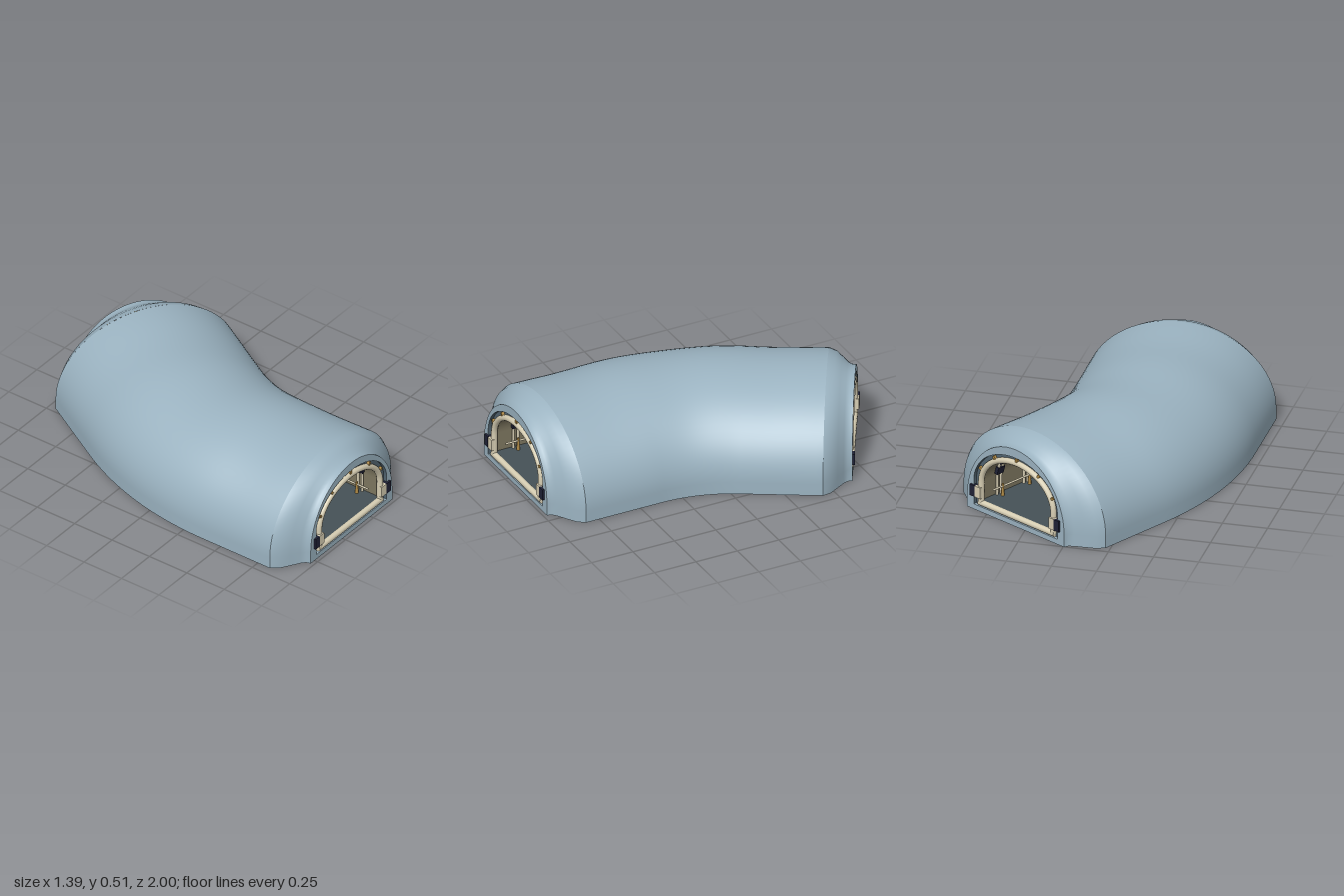
import * as THREE from 'three';

const mat = (name, color) => {
  const m = new THREE.MeshStandardMaterial({ color });
  m.name = name;
  return m;
};

// Centre line: straight, a 30 degree bend, straight again
const START = 0.61, R = 1.344, BEND = Math.PI / 6, ARC = R * BEND, L = START + ARC + 0.6;
function frame(s) {
  const a = THREE.MathUtils.clamp((s - START) / R, 0, BEND);
  let x = -0.17 + R * (1 - Math.cos(a));
  let z = 0.98 - Math.min(s, START) - R * Math.sin(a);
  const extra = Math.max(0, s - START - ARC);
  x += extra * Math.sin(a);
  z -= extra * Math.cos(a);
  return { x, z, a };
}
function place(s, u, y) {
  const f = frame(s);
  return new THREE.Vector3(f.x + u * Math.cos(f.a), y, f.z + u * Math.sin(f.a));
}

// Arch outline: short upright sides with an elliptical top
function arch(hw, h, spring, base, n = 40) {
  const pts = [[-hw, base]];
  for (let i = 0; i <= n; i++) {
    const t = Math.PI * (1 - i / n);
    pts.push([hw * Math.cos(t), spring + (h - spring) * Math.sin(t)]);
  }
  pts.push([hw, base]);
  return pts;
}

// Skin a list of { s, pts } cross-sections along the centre line
function sweep(rings) {
  const pos = [], idx = [], n = rings[0].pts.length;
  rings.forEach(({ s, pts }, i) => pts.forEach(([u, y], j) => {
    pos.push(...place(s, u, y).toArray());
    if (i && j) {
      const d = i * n + j, c = d - 1, b = d - n, a = b - 1;
      idx.push(a, b, c, b, d, c);
    }
  }));
  const g = new THREE.BufferGeometry();
  g.setAttribute('position', new THREE.Float32BufferAttribute(pos, 3));
  g.setIndex(idx);
  g.computeVertexNormals();
  return g;
}
const range = (a, b, n) => Array.from({ length: n + 1 }, (_, i) => a + (b - a) * i / n);
const toShape = (pts, Type = THREE.Shape) => new Type(pts.map(p => new THREE.Vector2(...p)));

export function createModel() {
  const model = new THREE.Group();
  model.name = 'curvedTunnel';
  const shell = mat('shellBlue', 0x9bb3c1);
  const slate = mat('darkSlate', 0x526470);
  const floorMat = mat('floorSlate', 0x465257);
  const lining = mat('liningOlive', 0x7d765f);
  const cream = mat('cream', 0xd8cfb4);
  const navy = mat('navy', 0x1f2136);
  const gold = mat('gold', 0xb08a45);
  const add = (name, geo, material, parent = model) => {
    const m = new THREE.Mesh(geo, material);
    m.name = name;
    parent.add(m);
    return m;
  };

  // Outer shell: main body and a narrowing collar at each end
  const skin = (name, sections) => {
    add(name, sweep(sections.map(([s, hw, h]) => ({ s, pts: arch(hw, h, 0.07, 0) }))), shell);
    add(name + 'Underside', sweep(sections.map(([s, hw]) => ({ s, pts: [[hw, 0], [-hw, 0]] }))), shell);
  };
  skin('body', range(0.15, L - 0.15, 40).map(s => [s, 0.53, 0.511 + 0.003 * Math.cos((s - 0.15) * 12)]));
  const collar = [[0, 0.365, 0.455], [0.025, 0.372, 0.456], [0.045, 0.395, 0.463],
    [0.075, 0.445, 0.483], [0.11, 0.5, 0.504], [0.15, 0.53, 0.514]];
  skin('frontCollar', collar);
  skin('backCollar', collar.map(([s, ...r]) => [L - s, ...r]).reverse());

  // Inner walls and floor
  const opening = arch(0.315, 0.405, 0.17, 0.03);
  const inside = arch(0.275, 0.37, 0.17, 0.05);
  const stations = range(0.02, L - 0.02, 44);
  add('lining', sweep(stations.map(s => ({ s, pts: [...inside].reverse() }))), lining);
  add('floor', sweep(stations.map(s => ({ s, pts: [[-0.275, 0.06], [0.275, 0.06]] }))), floorMat);
  for (const [a, b] of [[0, 0.02], [L - 0.02, L]]) {
    add('openingSleeve', sweep([a, b].map(s => ({ s, pts: [...opening].reverse() }))), slate);
    add('openingSill', sweep([a, b].map(s => ({ s, pts: [[-0.315, 0.03], [0.315, 0.03]] }))), shell);
  }

  // Doorway at each end, built in local axes with +z pointing outward
  const doorway = (name, s, turn) => {
    const g = new THREE.Group();
    g.name = name;
    const f = frame(s);
    g.position.set(f.x, 0, f.z);
    g.rotation.y = turn;
    model.add(g);

    const face = toShape(arch(0.365, 0.455, 0.07, 0));
    face.holes.push(toShape(opening, THREE.Path));
    add('endFace', new THREE.ShapeGeometry(face), shell, g);
    const rim = toShape(opening);
    rim.holes.push(toShape(inside, THREE.Path));
    add('darkRim', new THREE.ShapeGeometry(rim), slate, g).position.z = -0.02;

    const path = arch(0.272, 0.368, 0.17, 0.05, 24).map(([x, y]) => new THREE.Vector3(x, y, -0.014));
    add('archTube', new THREE.TubeGeometry(new THREE.CatmullRomCurve3(path), 64, 0.017, 10), cream, g);
    const bar = add('thresholdBar', new THREE.CylinderGeometry(0.017, 0.017, 0.57, 10), cream, g);
    bar.rotation.z = Math.PI / 2;
    bar.position.set(0, 0.047, -0.014);

    for (const side of [-1, 1]) {
      add('hingeBlock', new THREE.BoxGeometry(0.05, 0.065, 0.03), cream, g).position.set(side * 0.282, 0.112, -0.005);
      add('hingeCap', new THREE.BoxGeometry(0.036, 0.065, 0.03), navy, g).position.set(side * 0.317, 0.113, -0.003);
    }
    // Small brass clips round the arch
    for (const deg of [22, 55, 90, 125, 158]) {
      const t = THREE.MathUtils.degToRad(deg);
      const clip = add('clip', new THREE.BoxGeometry(0.014, 0.024, 0.016), gold, g);
      clip.position.set(0.29 * Math.cos(t), 0.17 + 0.22 * Math.sin(t), -0.01);
      clip.rotation.z = t - Math.PI / 2;
    }
  };
  doorway('frontDoorway', 0, 0);
  doorway('backDoorway', L, Math.PI - BEND);

  // Paired ribs with navy clamps, and short brass posts at the foot
  for (const s of range(0.14, L - 0.14, 8)) {
    const rib = new THREE.Group();
    rib.name = 'rib';
    const f = frame(s);
    rib.position.set(f.x, 0, f.z);
    rib.rotation.y = -f.a;
    model.add(rib);
    const pts = arch(0.264, 0.359, 0.17, 0.06, 20);
    for (const dz of [-0.014, 0.014]) {
      const curve = new THREE.CatmullRomCurve3(pts.map(([x, y]) => new THREE.Vector3(x, y, dz)));
      add('ribTube', new THREE.TubeGeometry(curve, 36, 0.008, 6), cream, rib);
    }
    for (let i = 0; i < 8; i++) {
      const t = Math.PI * (i + 0.5) / 8;
      const x = 0.262 * Math.cos(t), y = 0.17 + 0.187 * Math.sin(t);
      const clamp = add('ribClamp', new THREE.BoxGeometry(0.045, 0.02, 0.05), navy, rib);
      clamp.position.set(x, y, 0);
      clamp.rotation.z = Math.atan2(0.187 * Math.cos(t), -0.262 * Math.sin(t));
    }
    for (const side of [-1, 1]) {
      add('post', new THREE.CylinderGeometry(0.006, 0.01, 0.07, 8), gold, rib).position.set(side * 0.235, 0.095, 0);
    }
  }

  // Low hand rails following the bend
  for (const side of [-1, 1]) {
    const curve = new THREE.CatmullRomCurve3(range(0.06, L - 0.06, 24).map(s => place(s, side * 0.235, 0.115)));
    add(side > 0 ? 'leftRail' : 'rightRail', new THREE.TubeGeometry(curve, 60, 0.006, 6), cream);
  }
  return model;
}
